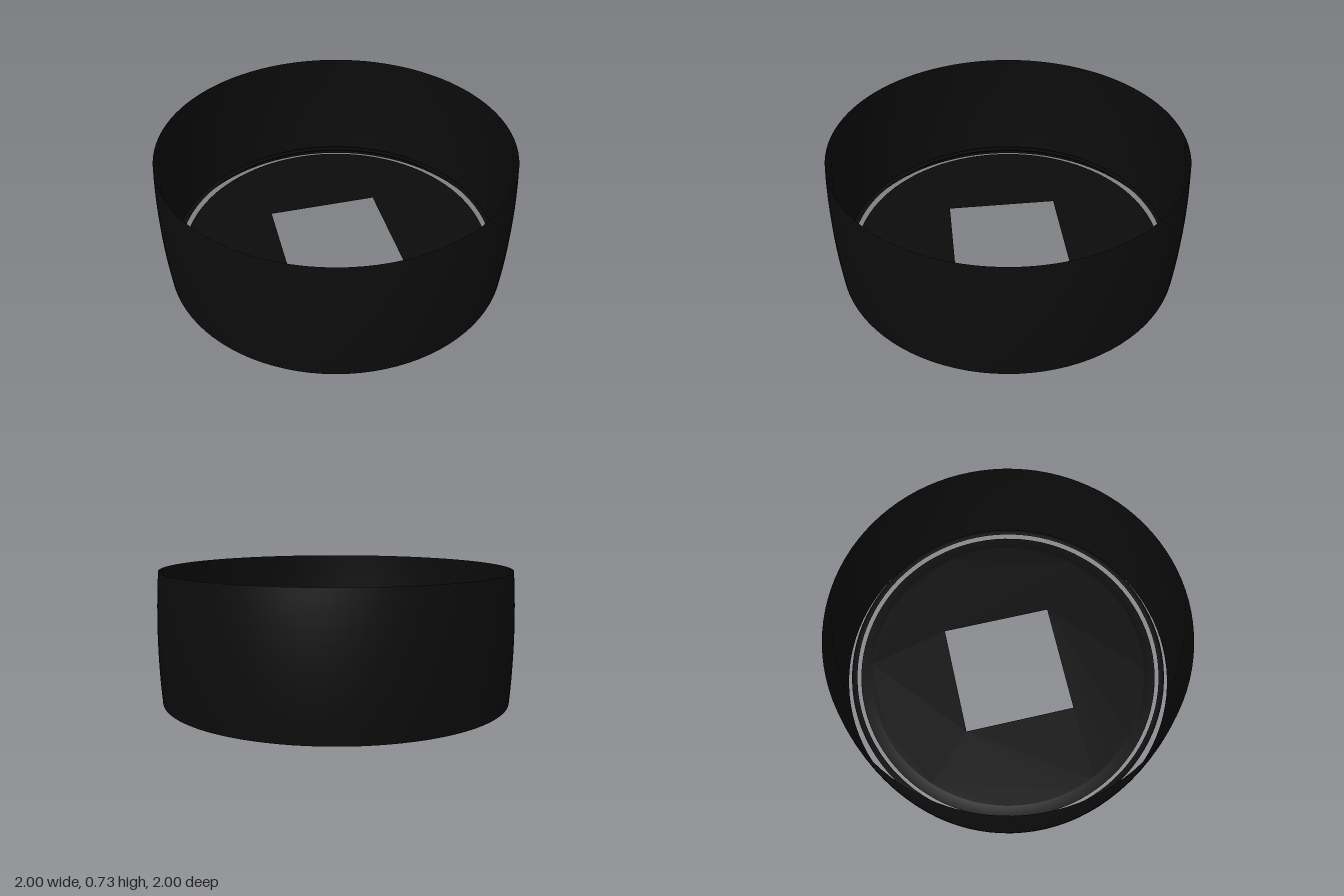
import * as THREE from 'three';

const SEGMENTS = 96;

export function createModel() {
  const group = new THREE.Group();
  const black = new THREE.MeshStandardMaterial({ color: 0x0c0c0c, side: THREE.DoubleSide });
  black.name = 'black';
  // one-sided skin for the narrow recesses that only face downwards
  const undersideBlack = new THREE.MeshStandardMaterial({ color: 0x0c0c0c });
  undersideBlack.name = 'underside black';

  const add = (name, geometry, material = black) => {
    const mesh = new THREE.Mesh(geometry, material);
    mesh.name = name;
    group.add(mesh);
    return mesh;
  };
  const ring = (name, profile, material) => add(name,
    new THREE.LatheGeometry(profile.map(([r, y]) => new THREE.Vector2(r, y)), SEGMENTS), material);

  // Thin, slightly barrel-shaped wall
  const wall = [];
  for (let i = 0; i <= 12; i++) {
    const t = i / 6 - 1;
    wall.push([1 - 0.015 * t * t, 0.365 + 0.365 * t]);
  }
  ring('wall', wall);

  // Stepped base, from the outer edge to the floor
  ring('outerRecess', [[0.952, 0.04], [0.985, 0.02]], undersideBlack);
  ring('baseStep', [[0.92, 0.07], [0.952, 0.075], [0.952, 0.04]]);
  ring('innerRecess', [[0.9, 0.05], [0.92, 0.07]], undersideBlack);
  ring('floorRim', [[0.835, 0.05], [0.9, 0.04], [0.9, 0.05]]);

  // Flat floor with a square opening
  const floor = new THREE.Shape().absarc(0, 0, 0.835, 0, Math.PI * 2);
  const s = 0.33;
  floor.holes.push(new THREE.Path([[-s, -s], [-s, s], [s, s], [s, -s]]
    .map(([x, y]) => new THREE.Vector2(x, y))));
  add('floor', new THREE.ShapeGeometry(floor, SEGMENTS).rotateX(-Math.PI / 2).translate(0, 0.05, 0));

  return group;
}
